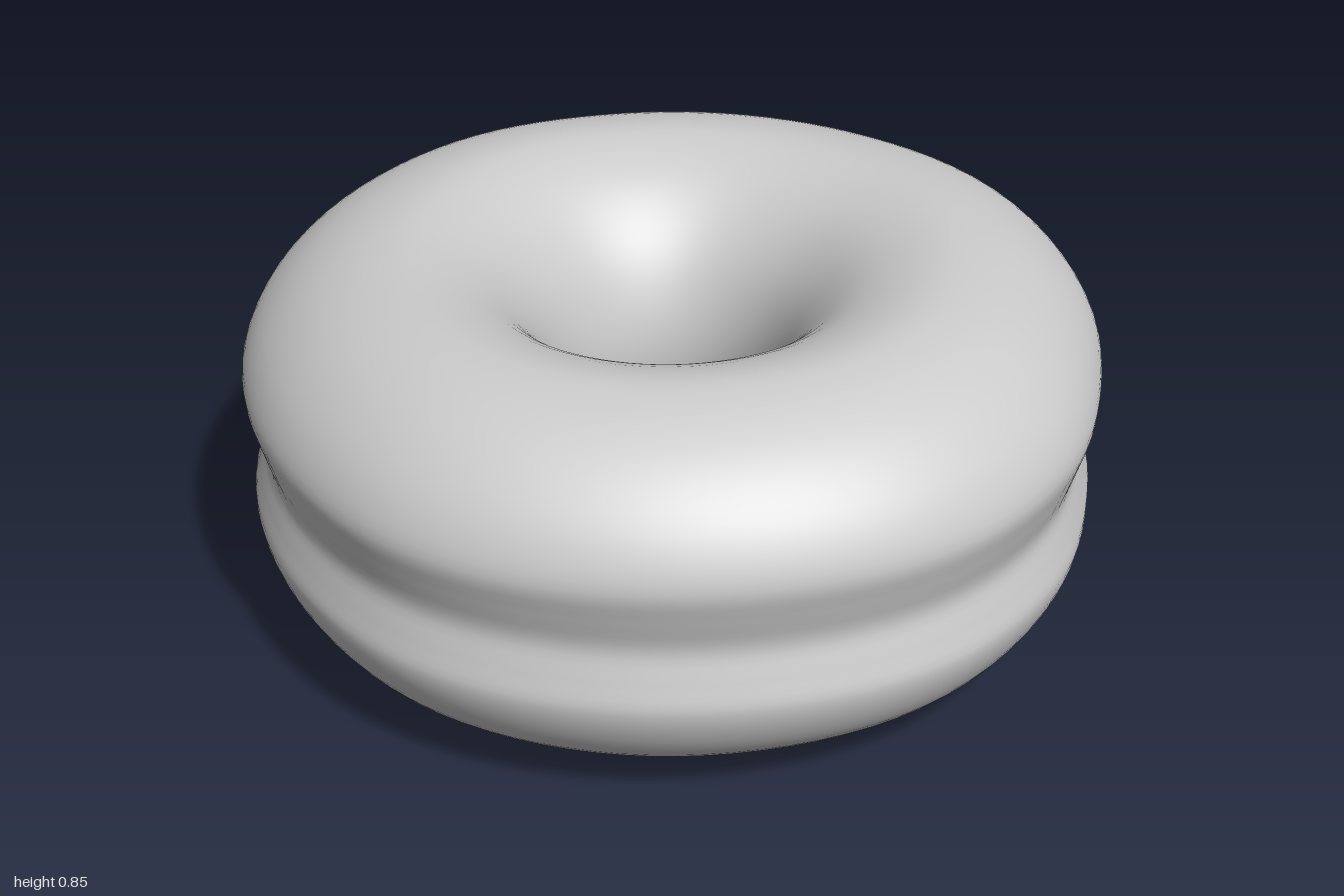
import * as THREE from 'three';

// Cross-section of the ring as (radius, height), from the hole over the top to the outside and back below
const SECTION = [
  [0.25, 0.43], [0.27, 0.56], [0.33, 0.69], [0.44, 0.80], [0.58, 0.85], [0.69, 0.84],
  [0.79, 0.80], [0.87, 0.74], [0.93, 0.665], [0.96, 0.58], [0.942, 0.5], [0.922, 0.42],
  [0.938, 0.35], [0.952, 0.28], [0.91, 0.17], [0.83, 0.085], [0.71, 0.03], [0.58, 0.015],
  [0.44, 0.06], [0.33, 0.17], [0.27, 0.30],
];

// Uneven outer radius around the ring, every 22.5 degrees from +x towards +z
const OUTER = [0.96, 0.983, 1, 0.992, 0.99, 0.985, 0.96, 0.95,
  0.963, 0.99, 1.01, 0.997, 1, 1.008, 1.018, 0.985];

const AROUND = 96, ACROSS = 84;

// Smooth periodic lookup in the radius list
function outerRadius(angle) {
  const n = OUTER.length;
  const t = (angle / (2 * Math.PI)) * n;
  const i = Math.floor(t), f = t - i;
  const [a, b, c, d] = [-1, 0, 1, 2].map((k) => OUTER[(i + k + n) % n]);
  return b + 0.5 * f * (c - a + f * (2 * a - 5 * b + 4 * c - d + f * (3 * (b - c) + d - a)));
}

// Slightly oval, off-centre hole
function holeRadius(angle) {
  return 0.24 - 0.015 * Math.cos(2 * angle) + 0.025 * Math.sin(angle);
}

function ringGeometry() {
  const curve = new THREE.CatmullRomCurve3(
    SECTION.map(([r, y]) => new THREE.Vector3(r, y, 0)), true, 'centripetal');
  const section = Array.from({ length: ACROSS }, (_, i) => curve.getPoint(i / ACROSS));
  const positions = [], indices = [];
  for (let j = 0; j < AROUND; j++) {
    const angle = (j / AROUND) * 2 * Math.PI;
    const dOuter = outerRadius(angle) - 0.96;
    const dHole = holeRadius(angle) - 0.25;
    for (let i = 0; i < ACROSS; i++) {
      const p = section[i];
      const w = (p.x - 0.25) / 0.71;
      const r = p.x + w * dOuter + (1 - w) * dHole;
      // The underside sags a little towards the back
      const low = Math.max(0, 1 - p.y / 0.42);
      const y = p.y - 0.014 * low * Math.cos(angle - 4.4);
      positions.push(r * Math.cos(angle), y, r * Math.sin(angle));
      const j2 = (j + 1) % AROUND, i2 = (i + 1) % ACROSS;
      const a = j * ACROSS + i, b = j * ACROSS + i2;
      const c = j2 * ACROSS + i2, d = j2 * ACROSS + i;
      indices.push(a, d, b, b, d, c);
    }
  }
  const geometry = new THREE.BufferGeometry();
  geometry.setAttribute('position', new THREE.Float32BufferAttribute(positions, 3));
  geometry.setIndex(indices);
  geometry.computeVertexNormals();
  return geometry;
}

export function createModel() {
  const group = new THREE.Group();
  group.name = 'doughnut';
  const ring = new THREE.Mesh(ringGeometry(), new THREE.MeshStandardMaterial({ color: 0xcccccc }));
  ring.name = 'doughRing';
  group.add(ring);
  return group;
}
